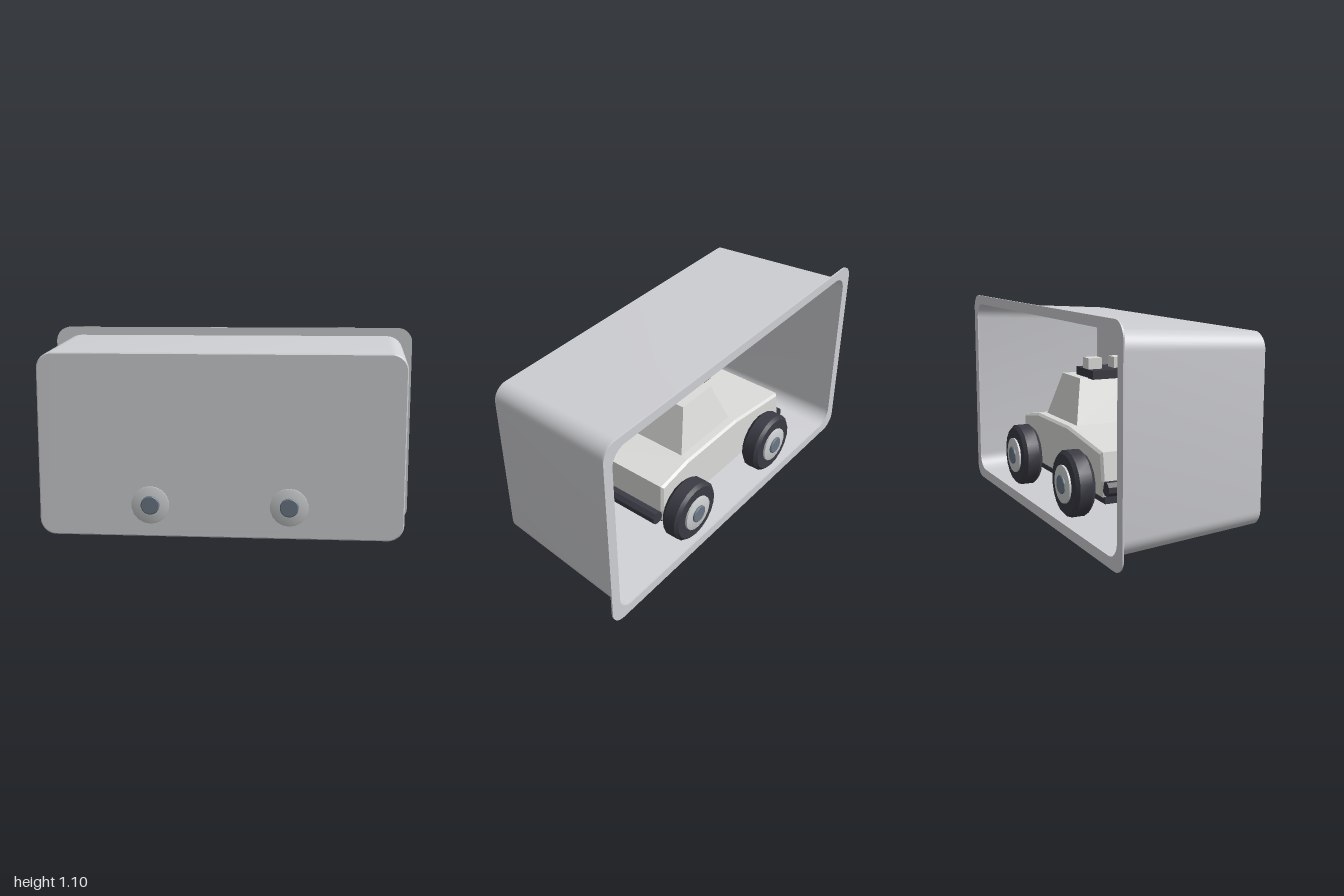
import * as THREE from 'three';
import { toCreasedNormals } from 'three/addons/utils/BufferGeometryUtils.js';

const mat = (name, color, side = THREE.FrontSide) => {
  const m = new THREE.MeshStandardMaterial({ color, side });
  m.name = name;
  return m;
};

// Rounded rectangle, centred on x = 0, from y0 to y1
function roundedRect(hw, y0, y1, r, Type = THREE.Shape) {
  const s = new Type();
  s.absarc(hw - r, y0 + r, r, -Math.PI / 2, 0);
  s.absarc(hw - r, y1 - r, r, 0, Math.PI / 2);
  s.absarc(-hw + r, y1 - r, r, Math.PI / 2, Math.PI);
  s.absarc(-hw + r, y0 + r, r, Math.PI, Math.PI * 1.5);
  s.closePath();
  return s;
}

// Skin through rounded rectangles [z, halfWidth, y0, y1, radius], back to front
function loft(sections) {
  const pos = [], idx = [];
  let n = 0;
  for (const [z, hw, y0, y1, r] of sections) {
    const pts = roundedRect(hw, y0, y1, r).getPoints(5);
    n = pts.length;
    for (const p of pts) pos.push(p.x, p.y, z);
  }
  for (let s = 0; s < sections.length - 1; s++) {
    for (let i = 0; i < n; i++) {
      const a = s * n + i, b = s * n + (i + 1) % n;
      idx.push(a, b, b + n, a, b + n, a + n);
    }
  }
  const g = new THREE.BufferGeometry();
  g.setAttribute('position', new THREE.Float32BufferAttribute(pos, 3));
  g.setIndex(idx);
  return toCreasedNormals(g, 0.6);
}

export function createModel() {
  const root = new THREE.Group();
  root.name = 'toyTruckInTray';

  const tray = mat('trayGrey', 0xcfd0d4, THREE.DoubleSide);
  const paint = mat('bodyGrey', 0xdcdcda);
  const rubber = mat('tyreBlack', 0x3a3b44);
  const rimGrey = mat('rimGrey', 0xcdcfd0);
  const steel = mat('hubBlueGrey', 0x6b7887);

  const add = (parent, name, geo, material, x = 0, y = 0, z = 0) => {
    const m = new THREE.Mesh(geo, material);
    m.name = name;
    m.position.set(x, y, z);
    parent.add(m);
    return m;
  };

  // Tray: tapered wall, front panel and flange round the open back
  const trayGroup = new THREE.Group();
  trayGroup.name = 'tray';
  root.add(trayGroup);
  add(trayGroup, 'trayWall', loft([
    [-0.38, 0.95, 0.05, 1.055, 0.09],
    [0.379, 0.906, 0.094, 1.011, 0.08],
    [0.385, 0.9, 0.1, 1.005, 0.075],
  ]), tray);
  add(trayGroup, 'frontPanel', new THREE.ShapeGeometry(roundedRect(0.9, 0.1, 1.005, 0.075), 5), tray, 0, 0, 0.385);
  const flange = roundedRect(1, 0, 1.1, 0.08);
  flange.holes.push(roundedRect(0.945, 0.055, 1.05, 0.085, THREE.Path));
  add(trayGroup, 'flange', new THREE.ExtrudeGeometry(flange, { depth: 0.008, bevelEnabled: false, curveSegments: 6 }), tray, 0, 0, -0.385);

  // Truck, facing -x
  const truck = new THREE.Group();
  truck.name = 'truck';
  root.add(truck);

  // Body: side profile extruded across the width
  const profile = new THREE.Shape([
    [-0.53, 0.22], [0.47, 0.22], [0.485, 0.3], [0.48, 0.455], [0.27, 0.492],
    [-0.14, 0.492], [-0.535, 0.44], [-0.555, 0.3],
  ].map(([x, y]) => new THREE.Vector2(x, y)));
  const bodyGeo = new THREE.ExtrudeGeometry(profile, {
    depth: 0.516, bevelThickness: 0.012, bevelSize: 0.012, bevelOffset: -0.012, bevelSegments: 1,
  });
  add(truck, 'body', bodyGeo, paint, 0, 0, -0.258);

  // Cabin: box tapering towards the roof
  const cabin = new THREE.BoxGeometry(0.41, 0.24, 0.44);
  const p = cabin.attributes.position;
  for (let i = 0; i < p.count; i++) {
    if (p.getY(i) > 0) p.setXYZ(i, p.getX(i) * 0.56, p.getY(i), p.getZ(i) * 0.73);
  }
  cabin.computeVertexNormals();
  add(truck, 'cabin', cabin, paint, 0.063, 0.6, 0);

  // Roof plate with two lamp boxes
  add(truck, 'roofPlate', new THREE.BoxGeometry(0.21, 0.045, 0.23), rubber, -0.005, 0.74, 0);
  for (const s of [-1, 1]) {
    add(truck, 'roofLamp', new THREE.BoxGeometry(0.07, 0.06, 0.075), paint, -0.012, 0.79, s * 0.072);
  }

  // Chassis and bumpers
  add(truck, 'chassis', new THREE.BoxGeometry(0.94, 0.05, 0.46), rubber, -0.03, 0.2, 0);
  for (const x of [-0.57, 0.51]) {
    const bar = new THREE.CylinderGeometry(0.036, 0.036, 0.52, 8).rotateX(Math.PI / 2).rotateZ(Math.PI / 8);
    add(truck, 'bumper', toCreasedNormals(bar, 0.6), rubber, x, 0.27, 0);
  }

  // Wheels: chamfered tyre, rim ring and hub cap, mirrored to both sides
  const lathe = (pts, n) => toCreasedNormals(
    new THREE.LatheGeometry(pts.map(([r, y]) => new THREE.Vector2(r, y)), n), 0.5).rotateX(Math.PI / 2);
  const tyreGeo = lathe([[0, 0.275], [0.145, 0.275], [0.165, 0.296], [0.165, 0.362], [0.148, 0.379], [0.085, 0.379]], 18);
  const rimGeo = lathe([[0.095, 0.36], [0.095, 0.389], [0.09, 0.391], [0, 0.391]], 18);
  const hubGeo = lathe([[0.047, 0.38], [0.047, 0.397], [0.042, 0.401], [0, 0.401]], 18);
  for (const x of [-0.345, 0.345]) {
    const axle = new THREE.CylinderGeometry(0.03, 0.03, 0.6, 12).rotateX(Math.PI / 2);
    add(truck, 'axle', axle, steel, x, 0.255, 0);
    for (const side of [0, Math.PI]) {
      const wheel = new THREE.Group();
      wheel.name = 'wheel';
      wheel.position.set(x, 0.255, 0);
      wheel.rotation.y = side;
      truck.add(wheel);
      add(wheel, 'tyre', tyreGeo, rubber);
      add(wheel, 'rim', rimGeo, rimGrey);
      add(wheel, 'hubCap', hubGeo, steel);
    }
  }
  return root;
}
